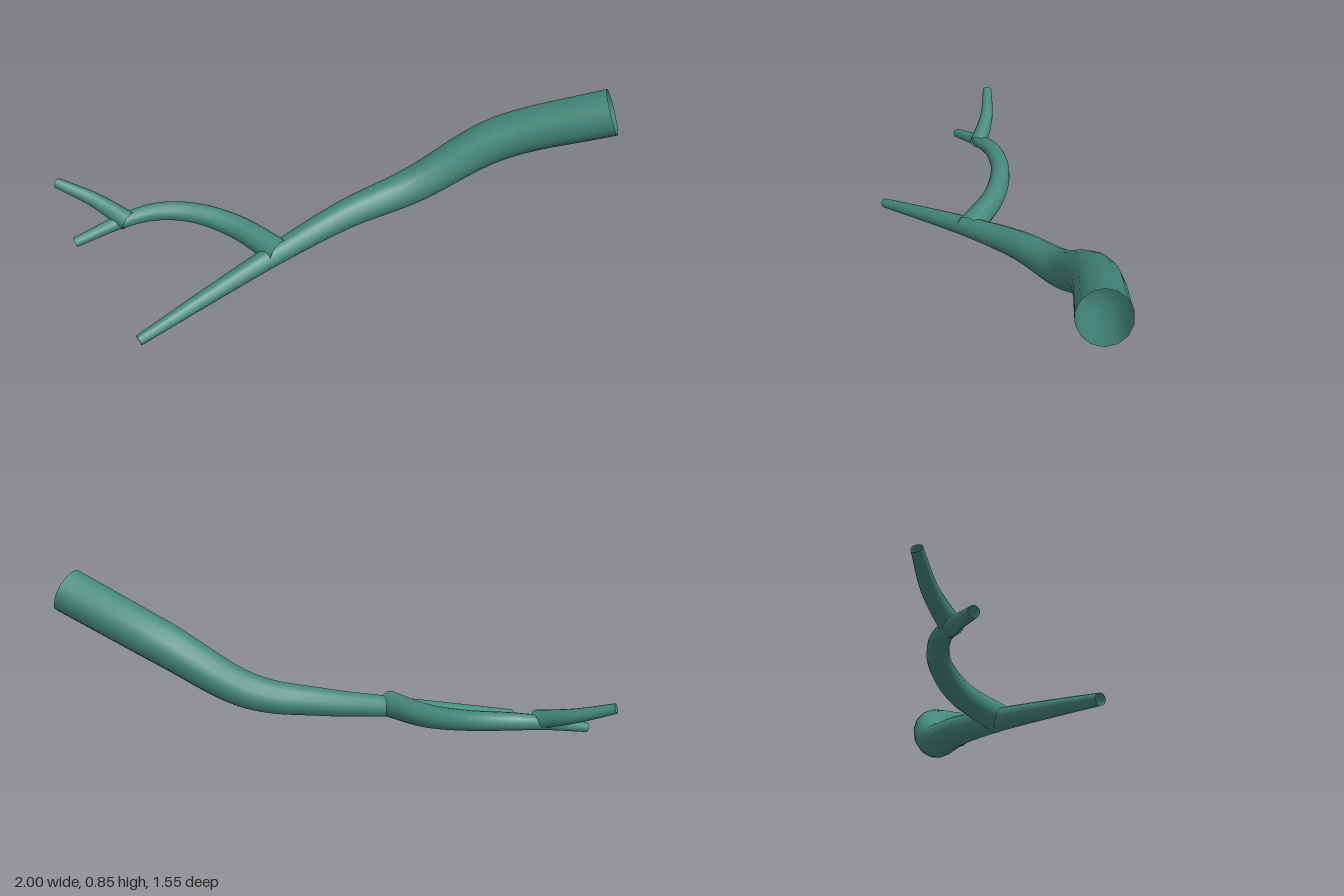
import * as THREE from 'three';

// Open tapered tube through points given as [x, y, z, radius]
function limb(name, points, segments, material) {
  const curve = new THREE.CatmullRomCurve3(points.map(([x, y, z]) => new THREE.Vector3(x, y, z)));
  const sides = 14;
  const geometry = new THREE.TubeGeometry(curve, segments, 1, sides, false);
  const pos = geometry.attributes.position;
  const v = new THREE.Vector3();
  for (let i = 0; i <= segments; i++) {
    const u = i / segments;
    const centre = curve.getPointAt(u);
    const t = curve.getUtoTmapping(u) * (points.length - 1);
    const k = Math.min(Math.floor(t), points.length - 2);
    const radius = THREE.MathUtils.lerp(points[k][3], points[k + 1][3], t - k);
    for (let j = 0; j <= sides; j++) {
      const n = i * (sides + 1) + j;
      v.fromBufferAttribute(pos, n).sub(centre).multiplyScalar(radius).add(centre);
      pos.setXYZ(n, v.x, v.y, v.z);
    }
  }
  const mesh = new THREE.Mesh(geometry, material);
  mesh.name = name;
  return mesh;
}

export function createModel() {
  const bark = new THREE.MeshStandardMaterial({ color: 0x458a7c, side: THREE.DoubleSide });
  bark.name = 'green bark';

  const group = new THREE.Group();
  group.name = 'branch';

  // Main stem, thick at the open front end and thin at the tip
  group.add(limb('mainStem', [
    [0.917, 0.76, 0.705, 0.1],
    [0.61, 0.575, 0.36, 0.095],
    [0.3, 0.36, 0.17, 0.08],
    [0, 0.28, 0.075, 0.064],
    [-0.33, 0.2, 0.03, 0.048],
    [-0.66, 0.115, 0, 0.036],
    [-0.995, 0.027, -0.025, 0.023],
  ], 48, bark));

  // Side branch curving towards the back
  group.add(limb('sideBranch', [
    [-0.335, 0.207, 0.045, 0.06],
    [-0.395, 0.235, -0.19, 0.052],
    [-0.505, 0.263, -0.36, 0.045],
    [-0.64, 0.272, -0.46, 0.04],
    [-0.78, 0.255, -0.51, 0.032],
    [-0.99, 0.205, -0.56, 0.022],
  ], 32, bark));

  // Twig forking off the side branch
  group.add(limb('twig', [
    [-0.765, 0.262, -0.485, 0.043],
    [-0.845, 0.328, -0.635, 0.032],
    [-0.953, 0.395, -0.762, 0.022],
  ], 16, bark));

  return group;
}
